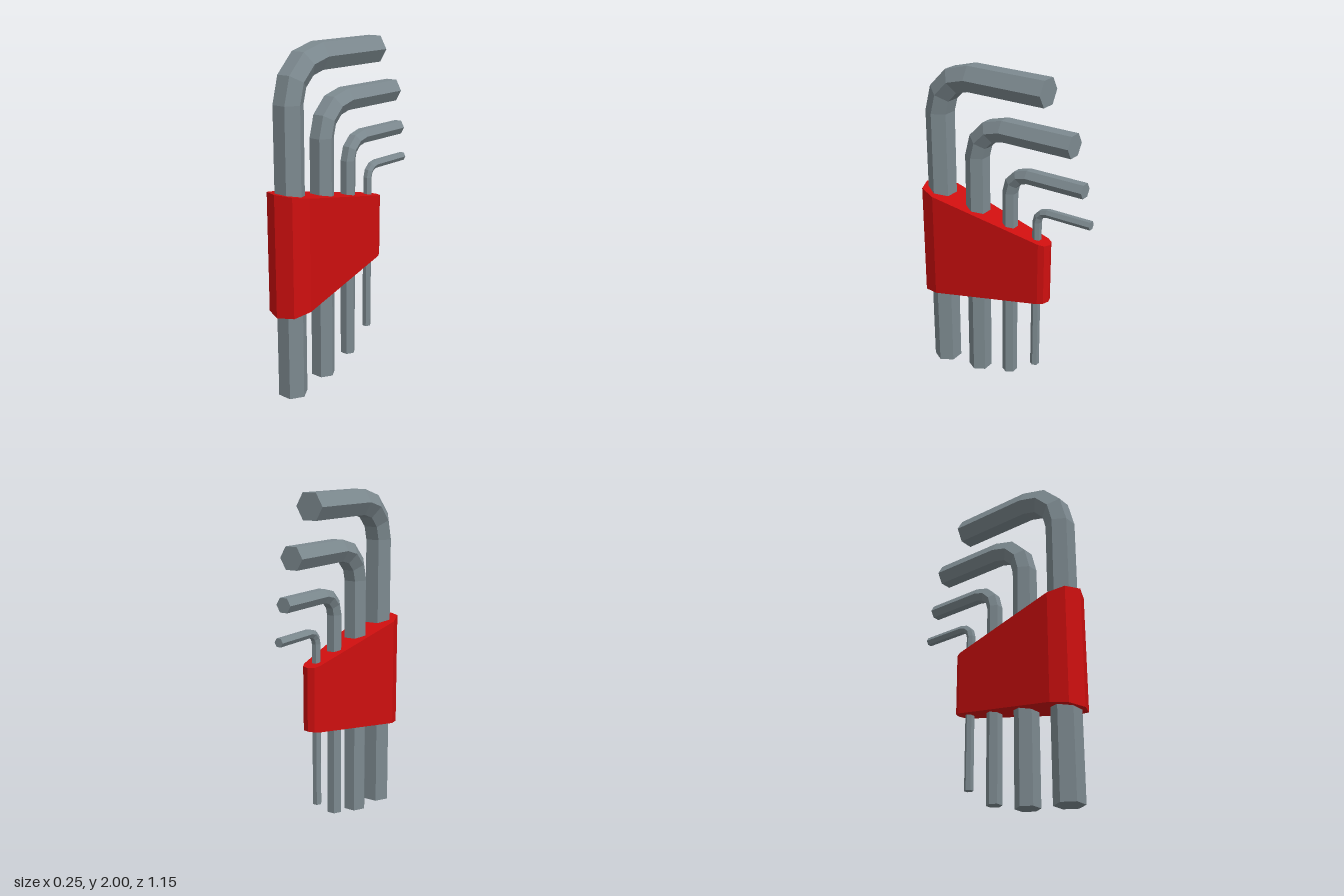
import * as THREE from 'three';

const steel = new THREE.MeshStandardMaterial({ color: 0x7d8a90, flatShading: true });
steel.name = 'steel grey';
const red = new THREE.MeshStandardMaterial({ color: 0xcf0f0f, flatShading: true });
red.name = 'holder red';

// Hexagonal bar swept up the shank, round a three-step bend and back along the arm
function hexKeyGeometry({ r, z, bottom, armY, bend, end }) {
  const zc = z - bend, yc = armY - bend;
  const stations = [{ y: bottom, z, a: 0 }];
  for (let i = 0; i <= 3; i++) {
    const a = (i * Math.PI) / 6;
    stations.push({ y: yc + bend * Math.sin(a), z: zc + bend * Math.cos(a), a });
  }
  stations.push({ y: armY, z: end, a: Math.PI / 2 });

  const rings = stations.map((s) => Array.from({ length: 6 }, (_, k) => {
    const t = (k * Math.PI) / 3, n = r * Math.sin(t);
    return [r * Math.cos(t), s.y + n * Math.sin(s.a), s.z + n * Math.cos(s.a)];
  }));

  const pos = [];
  const tri = (a, b, c) => pos.push(...a, ...b, ...c);
  for (let i = 0; i < rings.length - 1; i++) {
    for (let k = 0; k < 6; k++) {
      const k2 = (k + 1) % 6;
      tri(rings[i][k], rings[i + 1][k], rings[i + 1][k2]);
      tri(rings[i][k], rings[i + 1][k2], rings[i][k2]);
    }
  }
  // End caps
  const first = rings[0], last = rings[rings.length - 1];
  for (let k = 1; k < 5; k++) {
    tri(first[0], first[k], first[k + 1]);
    tri(last[0], last[k + 1], last[k]);
  }
  const g = new THREE.BufferGeometry();
  g.setAttribute('position', new THREE.Float32BufferAttribute(pos, 3));
  g.computeVertexNormals();
  return g;
}

// Tapered block: plan outline extruded, then top and bottom sloped towards the back
function holderGeometry() {
  const half = [[0, 0.577], [0.095, 0.537], [0.127, 0.435], [0.054, -0.27], [0.038, -0.303], [0, -0.317]];
  const mirrored = half.slice(1, -1).reverse().map(([x, z]) => [-x, z]);
  const shape = new THREE.Shape([...half, ...mirrored].map(([x, z]) => new THREE.Vector2(x, -z)));
  const g = new THREE.ExtrudeGeometry(shape, { depth: 1, bevelEnabled: false });
  g.rotateX(-Math.PI / 2);
  const p = g.attributes.position;
  for (let i = 0; i < p.count; i++) {
    const t = (0.577 - p.getZ(i)) / 0.894;
    const low = THREE.MathUtils.lerp(0.508, 0.665, t);
    const high = THREE.MathUtils.lerp(1.22, 1.038, t);
    p.setY(i, p.getY(i) > 0.5 ? high : low);
  }
  g.computeVertexNormals();
  return g;
}

export function createModel() {
  const group = new THREE.Group();
  group.name = 'hexKeySet';

  const holder = new THREE.Mesh(holderGeometry(), red);
  holder.name = 'holder';
  group.add(holder);

  // Keys from largest (front) to smallest (back)
  const keys = [
    { name: 'largeKey', r: 0.086, z: 0.455, bottom: 0, armY: 1.926, bend: 0.235, end: -0.284 },
    { name: 'mediumKey', r: 0.072, z: 0.188, bottom: 0.025, armY: 1.665, bend: 0.193, end: -0.455 },
    { name: 'smallKey', r: 0.046, z: -0.042, bottom: 0.08, armY: 1.425, bend: 0.125, end: -0.53 },
    { name: 'tinyKey', r: 0.027, z: -0.228, bottom: 0.195, armY: 1.232, bend: 0.07, end: -0.577 },
  ];
  for (const k of keys) {
    const mesh = new THREE.Mesh(hexKeyGeometry(k), steel);
    mesh.name = k.name;
    group.add(mesh);
  }
  return group;
}
